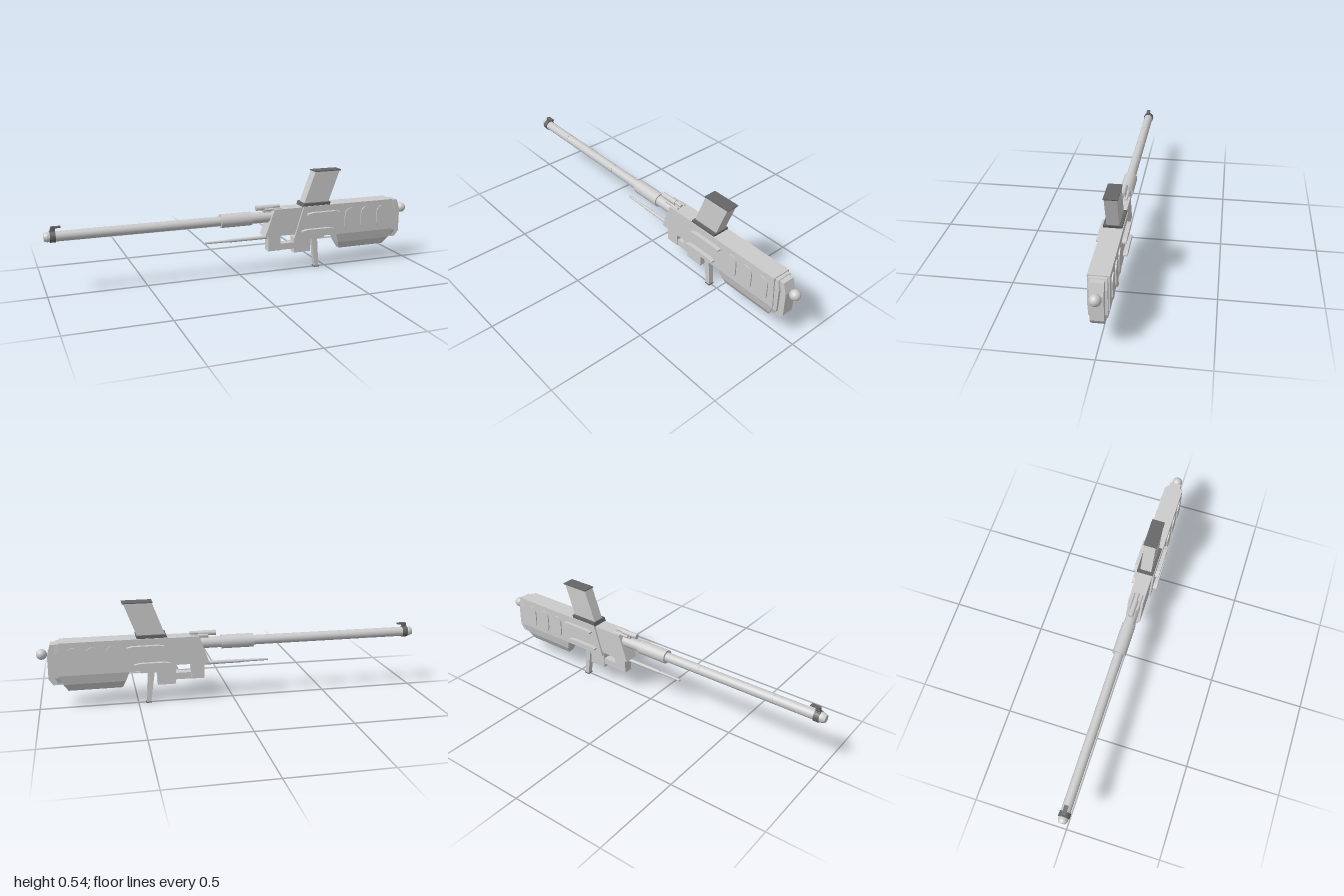
import * as THREE from 'three';

const grey = new THREE.MeshStandardMaterial({ color: 0xcccccc });
const greyFlat = new THREE.MeshStandardMaterial({ color: 0xcccccc, flatShading: true });
const dark = new THREE.MeshStandardMaterial({ color: 0x666666, flatShading: true });

const AXIS_Y = 0.305; // barrel centre height

export function createModel() {
  const model = new THREE.Group();

  const add = (name, geometry, material = greyFlat) => {
    const mesh = new THREE.Mesh(geometry, material);
    mesh.name = name;
    model.add(mesh);
    return mesh;
  };

  // Solid through rectangular sections [y, x0, x1, halfWidth], listed bottom to top
  const loft = (name, sections, material) => {
    const pos = [], idx = [];
    for (const [y, x0, x1, w] of sections) {
      pos.push(x0, y, w, x1, y, w, x1, y, -w, x0, y, -w);
    }
    const n = sections.length;
    for (let s = 0; s < n - 1; s++) {
      for (let i = 0; i < 4; i++) {
        const a = s * 4 + i, b = s * 4 + (i + 1) % 4;
        idx.push(a, b, b + 4, a, b + 4, a + 4);
      }
    }
    const t = (n - 1) * 4;
    idx.push(0, 2, 1, 0, 3, 2, t, t + 1, t + 2, t, t + 2, t + 3);
    const g = new THREE.BufferGeometry();
    g.setAttribute('position', new THREE.Float32BufferAttribute(pos, 3));
    g.setIndex(idx);
    const flat = g.toNonIndexed();
    flat.computeVertexNormals();
    return add(name, flat, material);
  };

  // Cylinder lying along x from x0 to x1
  const tube = (name, x0, x1, y, r0, r1 = r0, z = 0, material = grey, sides = 20) => {
    const g = new THREE.CylinderGeometry(r1, r0, x1 - x0, sides);
    g.rotateZ(-Math.PI / 2);
    g.translate((x0 + x1) / 2, y, z);
    return add(name, g, material);
  };

  const box = (name, x0, x1, y0, y1, w, material) =>
    loft(name, [[y0, x0, x1, w], [y1, x0, x1, w]], material);

  // Plate on one flank, from an outline in x and y
  const plate = (name, shape, z0, depth, side) => {
    const g = new THREE.ExtrudeGeometry(shape, { depth, bevelEnabled: false, curveSegments: 6 });
    g.translate(0, 0, side > 0 ? z0 : -z0 - depth);
    add(name, g);
  };

  // Barrel in segments with thin joints
  const joints = [-0.96, -0.735, -0.525, -0.315, -0.1];
  for (let i = 0; i < joints.length - 1; i++) {
    tube('barrelSegment', joints[i], joints[i + 1] - 0.004, AXIS_Y, 0.025);
    tube('barrelJoint', joints[i + 1] - 0.004, joints[i + 1], AXIS_Y, 0.024);
  }
  tube('barrelSleeve', -0.108, 0.062, AXIS_Y, 0.036);
  tube('barrelRoot', 0.06, 0.24, AXIS_Y, 0.029);

  // Muzzle and front sight
  tube('muzzle', -0.985, -0.96, AXIS_Y, 0.025);
  tube('muzzleTip', -1, -0.985, AXIS_Y, 0.019, 0.025);
  tube('muzzleRing', -0.972, -0.945, AXIS_Y, 0.029, 0.029, 0, dark);
  loft('frontSightPost', [[0.33, -0.97, -0.945, 0.008], [0.35, -0.965, -0.945, 0.008]], dark);
  box('frontSightBlade', -0.965, -0.918, 0.347, 0.354, 0.01, dark);

  // Rear sight on the front housing
  tube('rearSightTube', 0.09, 0.185, 0.357, 0.014, 0.014, 0, grey, 12);
  tube('rearSightCore', 0.18, 0.225, 0.36, 0.009, 0.009, 0, grey, 10);
  box('rearSightMount', 0.13, 0.2, 0.325, 0.35, 0.011);
  for (const s of [1, -1]) tube('rearSightArm', 0.135, 0.225, 0.35, 0.007, 0.007, s * 0.022, grey, 8);

  // Receiver
  loft('frontHousing', [[0.205, 0.13, 0.3, 0.04], [0.35, 0.182, 0.36, 0.04]]);
  loft('receiver', [[0.185, 0.295, 0.896, 0.049], [0.355, 0.348, 0.886, 0.049]]);
  loft('lowerStock', [
    [0.095, 0.58, 0.852, 0.015], [0.135, 0.563, 0.875, 0.038], [0.185, 0.545, 0.896, 0.049],
  ]);

  // Butt cap and end ball
  loft('buttPlate', [
    [0.145, 0.86, 0.9, 0.034], [0.175, 0.86, 0.915, 0.043],
    [0.3, 0.86, 0.915, 0.043], [0.35, 0.86, 0.902, 0.04],
  ]);
  loft('buttCap', [
    [0.135, 0.86, 0.923, 0.031], [0.165, 0.86, 0.946, 0.031],
    [0.29, 0.86, 0.946, 0.031], [0.346, 0.86, 0.928, 0.031],
  ]);
  add('endBall', new THREE.SphereGeometry(0.027, 20, 14), grey).position.set(0.973, 0.291, 0);

  // Flank details
  for (const side of [1, -1]) {
    for (const [x0, x1, y] of [[0.365, 0.555, 0.312], [0.335, 0.52, 0.221]]) {
      const h = 0.01;
      const rail = new THREE.Shape([
        [x0, y - 0.004], [x0 + 0.03, y - h], [x1 - 0.03, y - h], [x1, y - 0.004],
        [x1, y + 0.004], [x1 - 0.03, y + h], [x0 + 0.03, y + h], [x0, y + 0.004],
      ].map(([x, yy]) => new THREE.Vector2(x, yy)));
      plate('sideRail', rail, 0.045, 0.025, side);
    }
    for (let i = 0; i < 3; i++) {
      const cx = 0.627 + i * 0.098, r = 0.034;
      const panel = new THREE.Shape();
      panel.absarc(cx, 0.327 - r, r, 0, Math.PI);
      panel.absarc(cx, 0.2 + r, r, Math.PI, Math.PI * 2);
      plate('sidePanel', panel, 0.045, 0.01, side);
    }
  }

  // Slanted magazine
  loft('magazineCollar', [[0.35, 0.345, 0.5, 0.045], [0.37, 0.352, 0.507, 0.045]], dark);
  loft('magazine', [[0.355, 0.352, 0.495, 0.03], [0.537, 0.42, 0.563, 0.03]]);
  loft('magazineCap', [[0.535, 0.415, 0.568, 0.034], [0.54, 0.416, 0.57, 0.034]], dark);

  // Grip
  box('gripMount', 0.4, 0.485, 0.165, 0.188, 0.02);
  loft('grip', [[0.004, 0.436, 0.459, 0.014], [0.175, 0.412, 0.446, 0.014]]);
  box('gripBase', 0.433, 0.462, 0, 0.005, 0.016, dark);

  // Under-frame and thin forward rod
  box('frontBracket', 0.155, 0.225, 0.12, 0.21, 0.024);
  box('lowerBar', 0.22, 0.31, 0.12, 0.155, 0.02);
  box('rearBlock', 0.305, 0.4, 0.098, 0.19, 0.024);
  tube('rodBase', -0.06, 0.16, 0.194, 0.009, 0.01, 0, grey, 12);
  tube('rodTip', -0.19, -0.06, 0.194, 0.006, 0.007, 0, grey, 12);

  return model;
}
